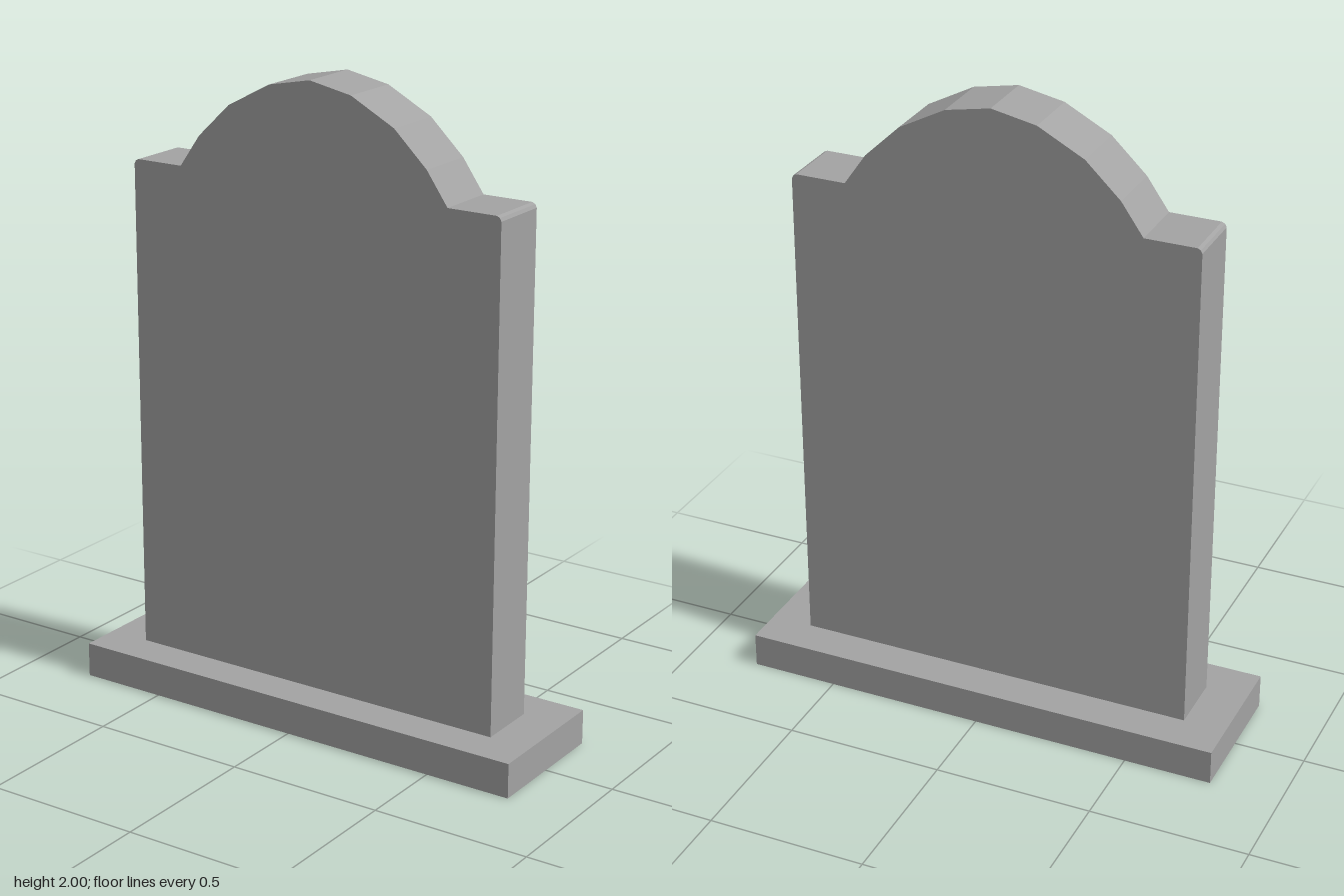
import * as THREE from 'three';

export function createModel() {
  const model = new THREE.Group();
  model.name = 'gravestone';
  const stone = new THREE.MeshStandardMaterial({ color: 0xa3a3a3, flatShading: true });
  stone.name = 'grey stone';

  // Plinth
  const plinthHeight = 0.11;
  const plinth = new THREE.Mesh(new THREE.BoxGeometry(1.555, plinthHeight, 0.445), stone);
  plinth.name = 'plinth';
  plinth.position.y = plinthHeight / 2;
  model.add(plinth);

  // Slab outline: right half from the foot to the crown, then mirrored
  const half = [
    [0.643, plinthHeight], [0.643, 1.675], [0.638, 1.685], [0.628, 1.69],
    [0.468, 1.69], [0.398, 1.79], [0.288, 1.895], [0.142, 1.972],
  ];
  const mirrored = half.map(([x, y]) => [-x, y]).reverse();
  const outline = [...half, [0, 2], ...mirrored].map(([x, y]) => new THREE.Vector2(x, y));

  // Upright slab with shoulders and a faceted arch
  const depth = 0.196;
  const geometry = new THREE.ExtrudeGeometry(new THREE.Shape(outline), { depth, bevelEnabled: false });
  geometry.translate(0, 0, -depth / 2);
  const slab = new THREE.Mesh(geometry, stone);
  slab.name = 'slab';
  model.add(slab);

  return model;
}
